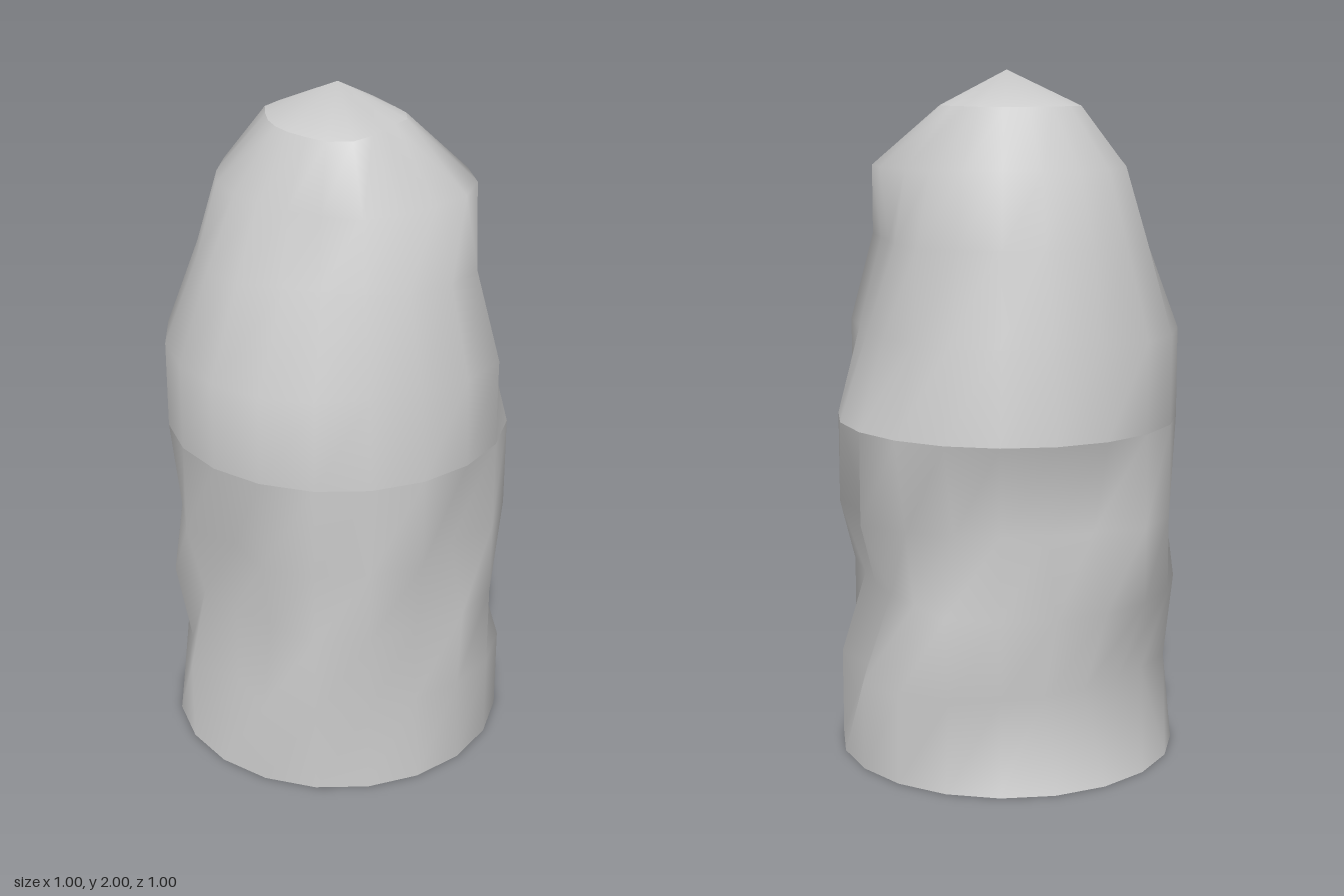
import * as THREE from 'three';

const SIDES = 20;
const material = new THREE.MeshStandardMaterial({ color: 0xcccccc });

// Each ring: height, full radius, and dents as [angle in degrees, half width, depth];
// a negative depth makes a bulge
const lowerRings = [
  { y: 0, r: 0.5, dents: [] },
  { y: 0.26, r: 0.5, dents: [[162, 17, 0.07], [200, 14, 0.045], [270, 56, 0.1], [90, 20, 0.025], [18, 17, 0.07]] },
  { y: 0.51, r: 0.5, dents: [[9, 40, 0.1], [162, 27, 0.07], [90, 17, 0.025]] },
  { y: 0.73, r: 0.5, dents: [[18, 17, 0.07], [162, 17, 0.07], [72, 17, 0.05], [207, 16, 0.035], [300, 48, 0.085]] },
  { y: 1, r: 0.5, dents: [] },
];
const tipRing = { y: 1.9, r: 0.225, dents: [[0, 30, 0.04], [60, 30, 0.055], [180, 50, 0.035], [90, 18, 0.03]] };
const upperRings = [
  { y: 1, r: 0.5, dents: [] },
  { y: 1.26, r: 0.5, dents: [[9, 44, 0.085], [300, 45, 0.045], [99, 28, 0.03]] },
  { y: 1.52, r: 0.425, dents: [[20, 26, 0.075], [130, 34, 0.085], [310, 38, 0.045], [200, 30, 0.025], [90, 17, 0.02]] },
  { y: 1.73, r: 0.36, dents: [[155, 40, 0.05], [205, 22, 0.02], [350, 30, 0.02], [40, 30, -0.03]] },
  tipRing,
];

function dentedRadius(ring, degrees) {
  let radius = ring.r;
  for (const [centre, width, depth] of ring.dents) {
    const away = Math.abs(((degrees - centre + 540) % 360) - 180) / width;
    if (away < 1) radius -= depth * Math.sqrt(1 - away * away);
  }
  return radius;
}

// Skin a stack of rings, optionally closed to a point at the top
function skin(rings, apexY) {
  const points = [];
  const index = [];
  for (const ring of rings) {
    for (let i = 0; i < SIDES; i++) {
      const degrees = (i * 360) / SIDES;
      const a = THREE.MathUtils.degToRad(degrees);
      const r = dentedRadius(ring, degrees);
      points.push(r * Math.cos(a), ring.y, r * Math.sin(a));
    }
  }
  for (let k = 0; k < rings.length - 1; k++) {
    for (let i = 0; i < SIDES; i++) {
      const a = k * SIDES + i;
      const b = k * SIDES + ((i + 1) % SIDES);
      index.push(b, a, a + SIDES, b, a + SIDES, b + SIDES);
    }
  }
  if (apexY !== undefined) {
    const apex = points.length / 3;
    points.push(0, apexY, 0);
    for (let i = 0; i < SIDES; i++) {
      index.push(apex - SIDES + ((i + 1) % SIDES), apex - SIDES + i, apex);
    }
  }
  const geometry = new THREE.BufferGeometry();
  geometry.setAttribute('position', new THREE.Float32BufferAttribute(points, 3));
  geometry.setIndex(index);
  geometry.computeVertexNormals();
  return geometry;
}

export function createModel() {
  const group = new THREE.Group();
  group.name = 'dentedPillar';
  const add = (name, geometry) => {
    const mesh = new THREE.Mesh(geometry, material);
    mesh.name = name;
    group.add(mesh);
  };
  // Upright lower half, tapering upper half, pointed tip and flat base
  add('lowerBody', skin(lowerRings));
  add('upperBody', skin(upperRings));
  add('tip', skin([tipRing], 2));
  add('base', new THREE.CircleGeometry(0.5, SIDES).rotateX(Math.PI / 2));
  return group;
}
